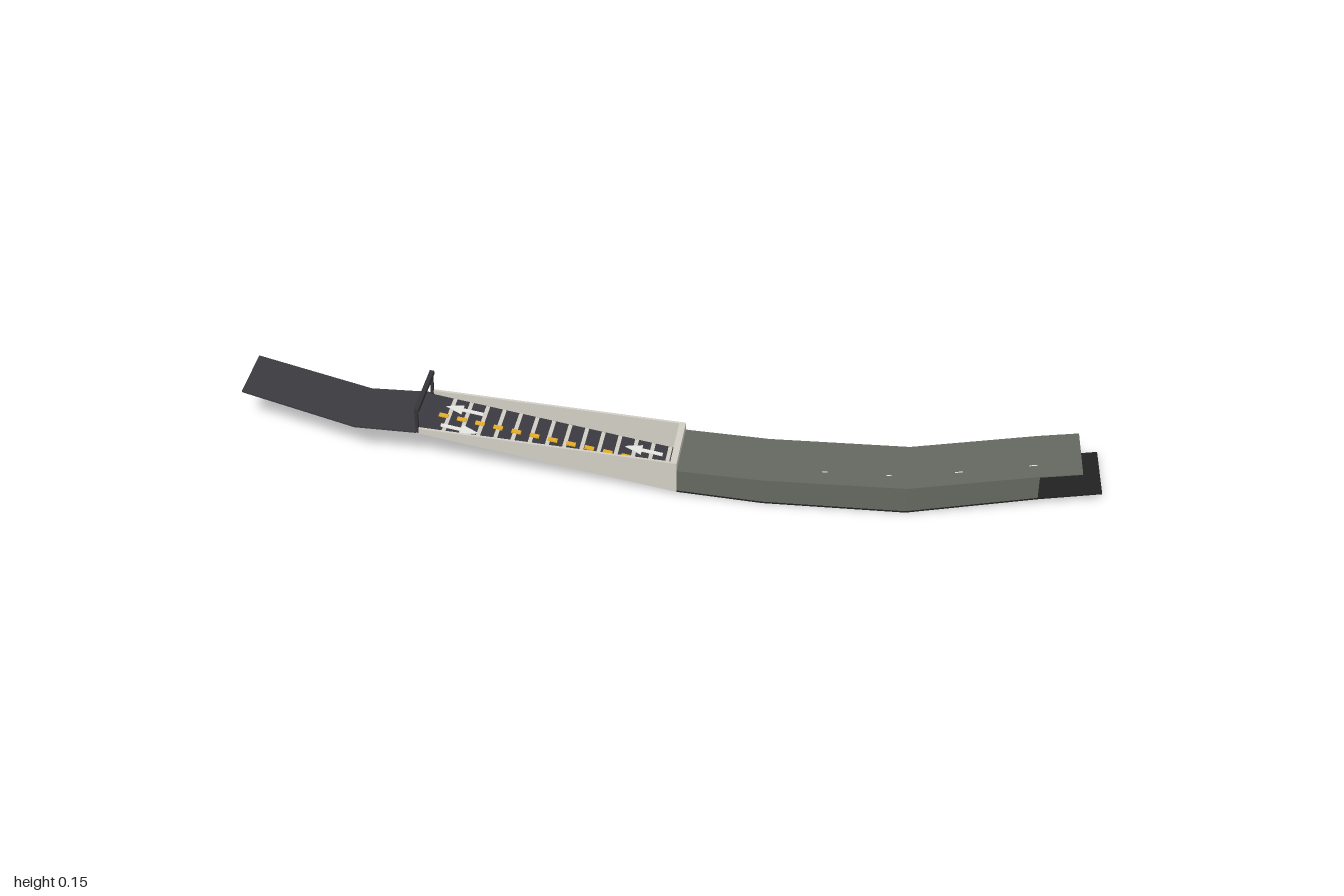
import * as THREE from 'three';

const mat = (name, color) => Object.assign(new THREE.MeshStandardMaterial({ color }), { name });

// Stations along the road: back edge x,z, front edge x,z
const stations = [
  [-1, 0.35, -0.92, 0.5], [-0.66, 0.315, -0.585, 0.47], [-0.525, 0.247, -0.445, 0.408],
  [0.072, 0.018, 0.15, 0.18], [0.26, -0.06, 0.338, 0.1], [0.56, -0.21, 0.637, -0.05],
  [0.917, -0.505, 0.997, -0.35],
];

// Piecewise linear height along the stations
const profile = (knots) => (s) => {
  let i = 0;
  while (i < knots.length - 2 && s > knots[i + 1][0]) i++;
  const [a, ya] = knots[i], [b, yb] = knots[i + 1];
  return ya + (yb - ya) * (s - a) / (b - a);
};
const floorY = profile([[0, 0.088], [2, 0.088], [3, 0.011], [4, 0.004], [5, 0.004], [5.67, 0.017], [6, 0.019]]);
const roofY = profile([[3, 0.066], [4, 0.064], [5, 0.067], [5.67, 0.076], [6, 0.076]]);
const wallY = profile([[2, 0.097], [3, 0.086]]);
const lift = (f, d) => (s) => f(s) + d;

// Point at station s, fraction u across the road (0 back, 1 front)
function at(s, u, y) {
  const i = Math.min(Math.floor(s), stations.length - 2), t = s - i;
  const [bx, bz, fx, fz] = stations[i].map((v, k) => v + (stations[i + 1][k] - v) * t);
  return [bx + (fx - bx) * u, y, bz + (fz - bz) * u];
}

export function createModel() {
  const model = new THREE.Group();
  const asphalt = mat('asphalt', 0x3b3a40);
  const concrete = mat('light concrete', 0xd2cec5);
  const tunnel = mat('tunnel concrete', 0x656860);
  const tunnelRoad = mat('tunnel road', 0x222222);
  const underside = mat('underside', 0x9f9b94);
  const steel = mat('dark steel', 0x353438);
  const white = mat('white paint', 0xf2f2ee);
  const yellow = mat('yellow paint', 0xf0b429);

  // Solid following the road; rows are [s, u0, u1]; base is used on the bottom face
  function slab(name, material, rows, bottom, top, base = material, parent = model) {
    const pos = [];
    const quad = (a, b, c, d) => pos.push(...a, ...b, ...c, ...a, ...c, ...d);
    const rings = rows.map(([s, u0, u1]) =>
      [at(s, u0, top(s)), at(s, u1, top(s)), at(s, u1, bottom(s)), at(s, u0, bottom(s))]);
    const geo = new THREE.BufferGeometry();
    for (let i = 0; i < 4; i++) {
      const start = pos.length / 3;
      for (let k = 0; k < rings.length - 1; k++) {
        const p = rings[k], q = rings[k + 1], j = (i + 1) % 4;
        quad(p[i], p[j], q[j], q[i]);
      }
      geo.addGroup(start, pos.length / 3 - start, i === 2 ? 1 : 0);
    }
    const start = pos.length / 3, e = rings[rings.length - 1];
    quad(rings[0][3], rings[0][2], rings[0][1], rings[0][0]);
    quad(...e);
    geo.addGroup(start, 12, 0);
    geo.setAttribute('position', new THREE.Float32BufferAttribute(pos, 3));
    geo.computeVertexNormals();
    const mesh = new THREE.Mesh(geo, [material, base]);
    mesh.name = name;
    parent.add(mesh);
  }
  const span = (list, u0, u1) => list.map((s) => [s, u0, u1]);

  // Road deck: approach, ramp and tunnel floor
  const under = lift(floorY, -0.004);
  slab('approachRoad', asphalt, span([0, 1, 2], 0, 1), under, floorY, underside);
  slab('rampRoad', asphalt, span([2, 3], 0.01, 0.99), under, floorY, underside);
  slab('tunnelFloor', tunnelRoad, span([3, 4, 5, 5.67, 6], 0, 1), under, floorY, underside);

  // Ramp retaining walls and the beam over the tunnel mouth
  for (const [name, u] of [['backRampWall', 0], ['frontRampWall', 0.96]])
    slab(name, concrete, span([2, 3], u, u + 0.04), under, wallY, underside);
  slab('portalBeam', concrete, span([2.975, 3], 0, 1), () => 0.062, wallY);

  // Tunnel walls, and a roof reaching past them
  for (const [name, u] of [['backTunnelWall', 0], ['frontTunnelWall', 0.97]])
    slab(name, tunnel, span([3, 4, 5, 5.67], u, u + 0.03), floorY, lift(roofY, -0.001));
  slab('tunnelRoof', tunnel, span([3, 4, 5, 5.67, 5.89], 0, 1), lift(roofY, -0.002), roofY);

  // Height gantry at the ramp entrance
  const gantry = new THREE.Group();
  gantry.name = 'heightGantry';
  model.add(gantry);
  for (const u of [0, 0.95])
    slab('gantryPost', steel, span([1.995, 2.01], u, u + 0.05), () => 0.085, () => 0.15, steel, gantry);
  slab('gantryBeam', steel, span([1.99, 2.015], 0, 1), () => 0.141, () => 0.151, steel, gantry);

  // Painted markings on the ramp
  const paint = new THREE.Group();
  paint.name = 'roadMarkings';
  model.add(paint);
  const mark = (name, m, rows, h = 0.001) =>
    slab(name, m, rows, floorY, lift(floorY, h), m, paint);
  for (let i = 0; i < 14; i++) {
    const s = 2.09 + i * 0.065;
    mark('crossBar', concrete, span([s, s + 0.015], 0.05, 0.95));
  }
  for (let i = 0; i < 13; i++) {
    const s = 2.06 + i * 0.071;
    mark('centreDash', yellow, span([s, s + 0.036], 0.46, 0.54), 0.003);
  }
  // Lane arrows: back lane points uphill, front lane downhill
  for (const s of [2.15, 2.85])
    for (const [u, dir] of [[0.27, -1], [0.73, 1]]) {
      const shaft = [[s - dir * 0.07, u - 0.035, u + 0.035], [s + dir * 0.02, u - 0.035, u + 0.035]];
      const head = [[s + dir * 0.01, u - 0.11, u + 0.11], [s + dir * 0.075, u - 0.002, u + 0.002]];
      for (const rows of [shaft, head])
        mark('laneArrow', white, dir > 0 ? rows : rows.reverse(), 0.002);
    }

  // Small pale dashes along the tunnel roof
  for (const s of [4.4, 4.85, 5.24, 5.62])
    slab('roofDash', white, span([s, s + 0.04], 0.71, 0.725), roofY, lift(roofY, 0.0008), white, paint);

  return model;
}
